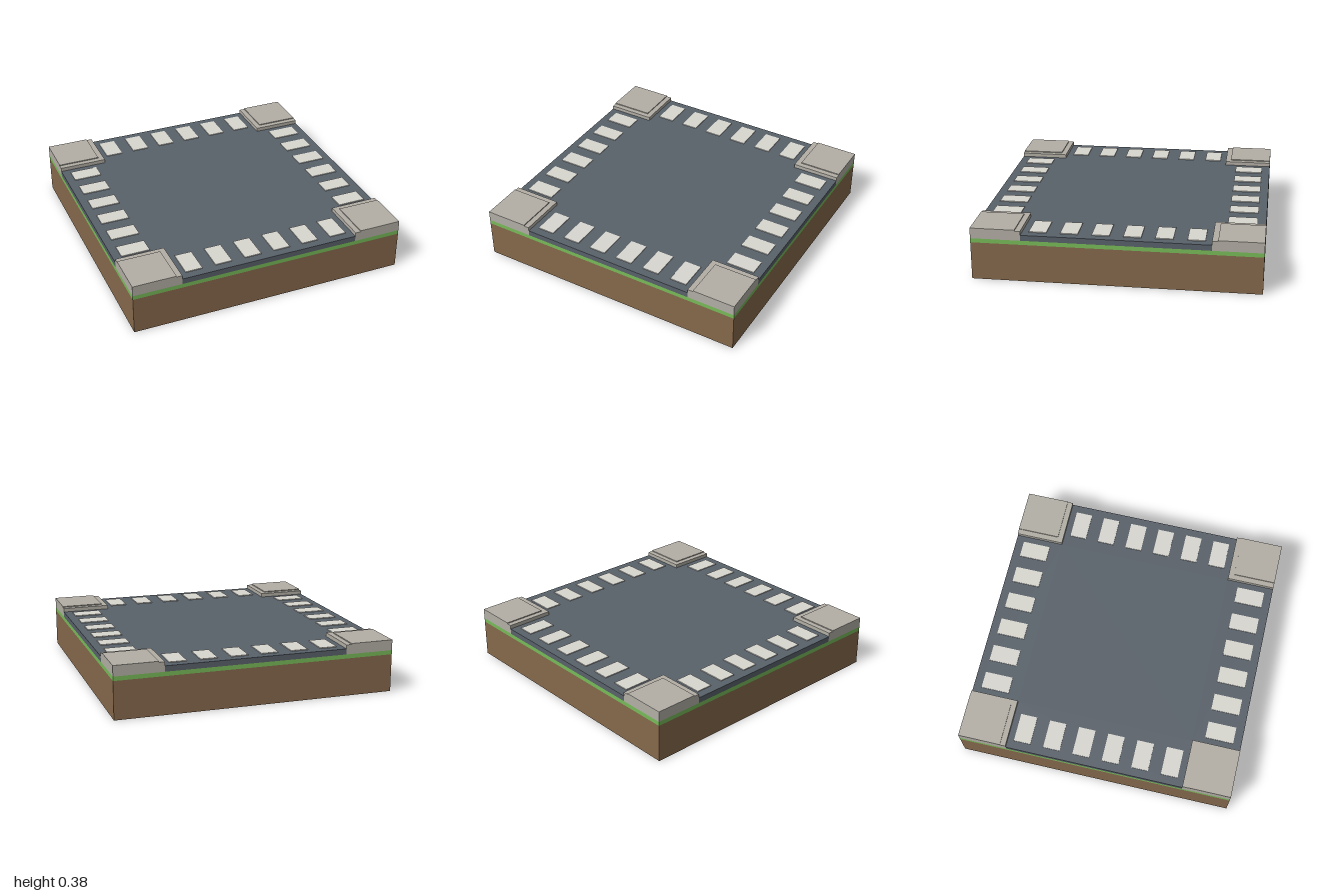
import * as THREE from 'three';

const material = (name, color) => {
  const m = new THREE.MeshStandardMaterial({ color });
  m.name = name;
  return m;
};

export function createModel() {
  const soil = material('soil brown', 0x86694c);
  const grass = material('grass green', 0x78bb59);
  const asphalt = material('asphalt grey', 0x59616a);
  const paint = material('road paint', 0xd8d7d0);
  const paving = material('paving grey', 0xb3afa6);

  const model = new THREE.Group();
  model.name = 'crossroadsTile';

  // Box given by its extents in x, y and z
  const addBox = (parent, name, mat, [x0, x1], [y0, y1], [z0, z1]) => {
    const mesh = new THREE.Mesh(new THREE.BoxGeometry(x1 - x0, y1 - y0, z1 - z0), mat);
    mesh.position.set((x0 + x1) / 2, (y0 + y1) / 2, (z0 + z1) / 2);
    mesh.name = name;
    parent.add(mesh);
  };

  // Ground layers
  addBox(model, 'soilBase', soil, [-1, 1], [0, 0.27], [-1, 1]);
  addBox(model, 'grassLayer', grass, [-1, 1], [0.27, 0.3], [-1, 1]);

  // Cross-shaped road between the corners
  const c = 0.65;
  const outline = [[-c, -1], [c, -1], [c, -c], [1, -c], [1, c], [c, c],
    [c, 1], [-c, 1], [-c, c], [-1, c], [-1, -c], [-c, -c]];
  const roadShape = new THREE.Shape(outline.map(([x, y]) => new THREE.Vector2(x, y)));
  const roadGeometry = new THREE.ExtrudeGeometry(roadShape, { depth: 0.04, bevelEnabled: false });
  roadGeometry.rotateX(-Math.PI / 2);
  const road = new THREE.Mesh(roadGeometry, asphalt);
  road.position.y = 0.3;
  road.name = 'road';
  model.add(road);

  // Four sides: a pedestrian crossing and a pavement corner on each
  for (let side = 0; side < 4; side++) {
    const group = new THREE.Group();
    group.name = 'side' + (side + 1);
    group.rotation.y = side * Math.PI / 2;

    // Crossing stripes
    for (let i = 0; i < 6; i++) {
      const x = (i - 2.5) * 0.217;
      addBox(group, 'crossingStripe', paint, [x - 0.061, x + 0.061], [0.34, 0.346], [0.735, 0.94]);
    }

    // Pavement corner: raised slab with a slightly lower kerb on its road edges
    addBox(group, 'kerb', paving, [c, 1], [0.3, 0.368], [c, 1]);
    addBox(group, 'pavementSlab', paving, [0.69, 1], [0.368, 0.375], [0.69, 1]);
    model.add(group);
  }

  return model;
}
